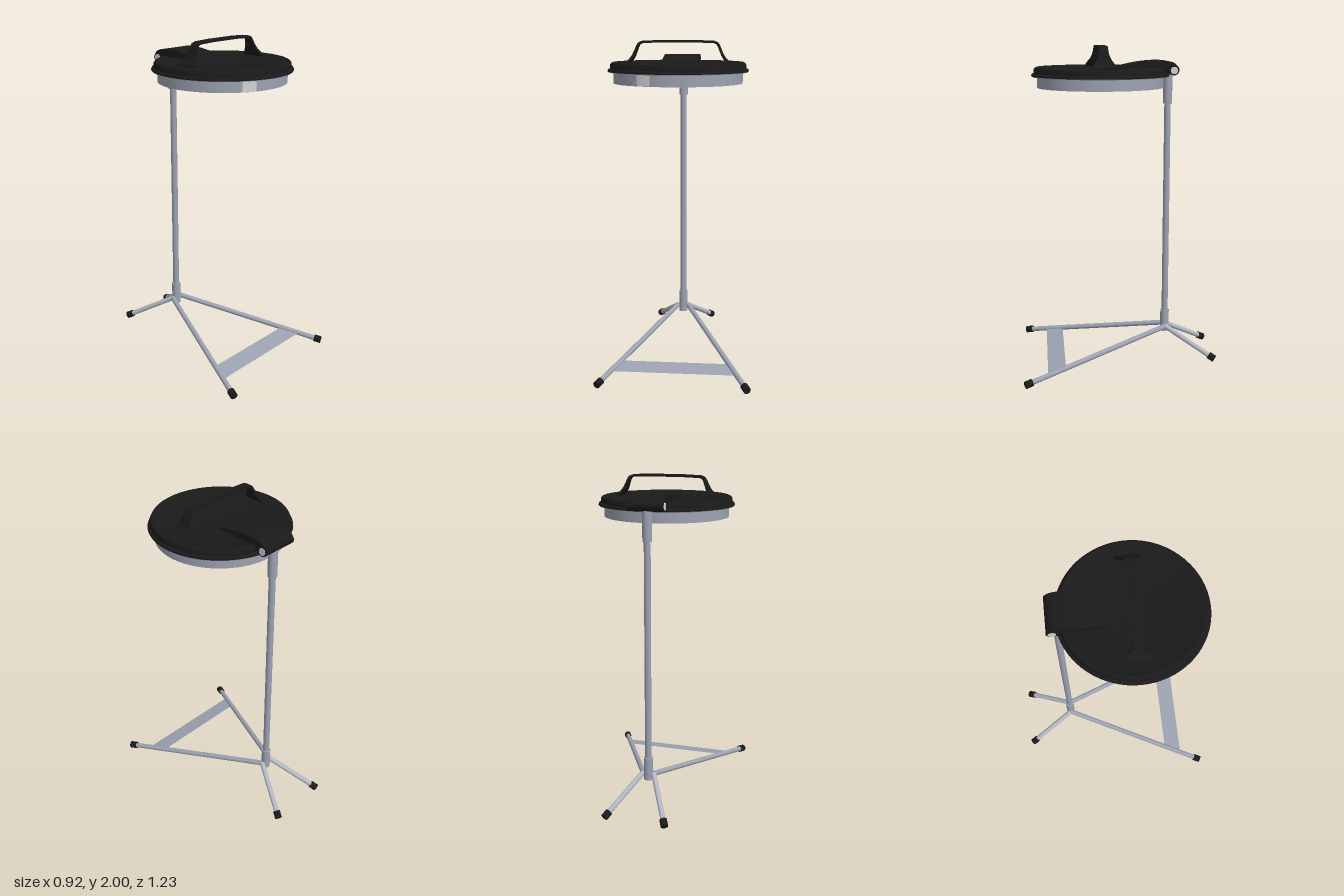
import * as THREE from 'three';
import { toCreasedNormals } from 'three/addons/utils/BufferGeometryUtils.js';

export function createModel() {
  const model = new THREE.Group();
  const metal = new THREE.MeshStandardMaterial({ name: 'grey metal', color: 0x9ca2b1 });
  const light = new THREE.MeshStandardMaterial({ name: 'light metal', color: 0xb2b6c0 });
  const pale = new THREE.MeshStandardMaterial({ name: 'pale metal', color: 0xd4d4d4 });
  const black = new THREE.MeshStandardMaterial({ name: 'black plastic', color: 0x1a1a1a });
  const dark = new THREE.MeshStandardMaterial({ name: 'deep black', color: 0x0a0a0a });
  const V = (x, y, z) => new THREE.Vector3(x, y, z);
  const POST_Z = -0.307, LID_Z = 0.107;

  function add(name, geometry, material, x = 0, y = 0, z = 0) {
    const mesh = new THREE.Mesh(geometry, material);
    mesh.name = name;
    mesh.position.set(x, y, z);
    model.add(mesh);
    return mesh;
  }

  // Cylinder running between two points
  function rod(name, a, b, radius, material) {
    const mesh = add(name, new THREE.CylinderGeometry(radius, radius, a.distanceTo(b), 24), material);
    mesh.position.copy(a).lerp(b, 0.5);
    mesh.quaternion.setFromUnitVectors(V(0, 1, 0), b.clone().sub(a).normalize());
    return mesh;
  }

  // Full or partial turned shape about the lid axis
  function lathe(name, profile, material, start = 0, sweep = Math.PI * 2) {
    const points = profile.map(([r, y]) => new THREE.Vector2(r, y));
    const geometry = new THREE.LatheGeometry(points, 72, start, sweep);
    return add(name, toCreasedNormals(geometry, 0.5), material, 0, 0, LID_Z);
  }

  // Post with its two sleeves
  rod('post', V(0, 0.17, POST_Z), V(0, 1.8, POST_Z), 0.02, metal);
  rod('lowerSleeve', V(0, 0.16, POST_Z), V(0, 0.305, POST_Z), 0.028, metal);
  rod('upperSleeve', V(0, 1.65, POST_Z), V(0, 1.84, POST_Z), 0.028, metal);

  // Four splayed legs with rubber tips
  const legTop = s => V(s * 0.034, 0.2, POST_Z);
  const legs = [['frontLeg', V(0.441, 0.024, 0.602), metal], ['rearLeg', V(0.188, 0.022, -0.605), light]];
  for (const side of [1, -1]) {
    for (const [name, end, material] of legs) {
      const top = legTop(side), foot = end.clone();
      foot.x *= side;
      const tipStart = foot.clone().add(top.clone().sub(foot).setLength(0.045));
      rod(name, top, tipStart, 0.016, material);
      rod(name + 'Tip', tipStart, foot, 0.0225, black);
    }
  }

  // Thin sloping plate between the front legs, with a paler underside
  const onLeg = z => legTop(1).lerp(legs[0][1], (z - POST_Z) / (0.602 - POST_Z));
  const front = onLeg(0.465), back = onLeg(0.355);
  function plateFace(name, dy, index, material) {
    const corners = [];
    for (const [p, s] of [[front, -1], [front, 1], [back, 1], [back, -1]])
      corners.push(s * p.x, p.y + dy, p.z);
    const face = new THREE.BufferGeometry();
    face.setAttribute('position', new THREE.Float32BufferAttribute(corners, 3));
    face.setIndex(index);
    face.computeVertexNormals();
    add(name, face, material);
  }
  plateFace('bracePlateTop', -0.001, [0, 1, 2, 0, 2, 3], metal);
  plateFace('bracePlateUnderside', -0.005, [0, 2, 1, 0, 3, 2], pale);

  // Round holder: metal rim with a flange, dark liner inside, deep black pad
  lathe('rim', [[0.376, 1.75], [0.383, 1.75], [0.383, 1.82], [0.414, 1.815], [0.4165, 1.819]], metal);
  lathe('rimSheen', [[0.3835, 1.751], [0.3835, 1.815]], pale, -0.56, 0.22);
  lathe('liner', [[0.376, 1.835], [0.376, 1.75]], black);
  const pad = add('innerPad', new THREE.CircleGeometry(0.378, 72), dark, 0, 1.835, LID_Z);
  pad.rotation.x = Math.PI / 2;

  // Lid with a rolled edge
  lathe('lid', [[0.4165, 1.819], [0.418, 1.822], [0.415, 1.832], [0.404, 1.837],
    [0.403, 1.858], [0.397, 1.868], [0.386, 1.873], [0.375, 1.871], [0.366, 1.867], [0, 1.867]], black);

  // Hinge cover curling over the pin
  const cover = new THREE.Shape();
  cover.moveTo(0.008, 1.862);
  cover.lineTo(0.008, 1.871);
  cover.splineThru([[-0.05, 1.886], [-0.12, 1.9], [-0.2, 1.909], [-0.28, 1.909], [-0.325, 1.898],
    [-0.35, 1.875], [-0.358, 1.852], [-0.346, 1.831], [-0.325, 1.823]].map(p => new THREE.Vector2(...p)));
  cover.lineTo(-0.3, 1.832);
  cover.lineTo(-0.28, 1.862);
  const coverGeo = new THREE.ExtrudeGeometry(cover, { depth: 0.218, bevelEnabled: false, curveSegments: 4 });
  coverGeo.translate(0, 0, -0.109).rotateY(-Math.PI / 2);
  add('hingeCover', toCreasedNormals(coverGeo, 0.6), black);
  rod('hingePin', V(-0.112, 1.853, -0.327), V(0.112, 1.853, -0.327), 0.022, pale);

  // Handle: a strap swept across the lid, flaring into feet; rows are x, y, half width
  const half = [[0.302, 1.868, 0.072], [0.289, 1.877, 0.071], [0.276, 1.891, 0.062], [0.262, 1.913, 0.045],
    [0.25, 1.941, 0.032], [0.24, 1.966, 0.026], [0.229, 1.982, 0.025], [0.21, 1.989, 0.025], [0.1, 1.993, 0.025]];
  const rows = [...half.map(([x, y, w]) => [-x, y, w]), ...half.slice().reverse()];
  const pos = [], idx = [];
  rows.forEach(([x, y, w], i) => {
    const a = rows[Math.max(i - 1, 0)], b = rows[Math.min(i + 1, rows.length - 1)];
    const n = new THREE.Vector2(a[1] - b[1], b[0] - a[0]).setLength(0.007);
    for (const [s, t] of [[1, 1], [1, -1], [-1, -1], [-1, 1]])
      pos.push(x + s * n.x, y + s * n.y, t * w);
    if (i === 0) return;
    for (let k = 0; k < 4; k++) {
      const p = (i - 1) * 4 + k, q = (i - 1) * 4 + (k + 1) % 4;
      idx.push(p, p + 4, q, q, p + 4, q + 4);
    }
  });
  const e = pos.length / 3 - 4;
  idx.push(0, 1, 2, 0, 2, 3, e, e + 2, e + 1, e, e + 3, e + 2);
  const strap = new THREE.BufferGeometry();
  strap.setAttribute('position', new THREE.Float32BufferAttribute(pos, 3));
  strap.setIndex(idx);
  add('handle', toCreasedNormals(strap, 0.7), black, 0, 0, LID_Z);

  return model;
}
